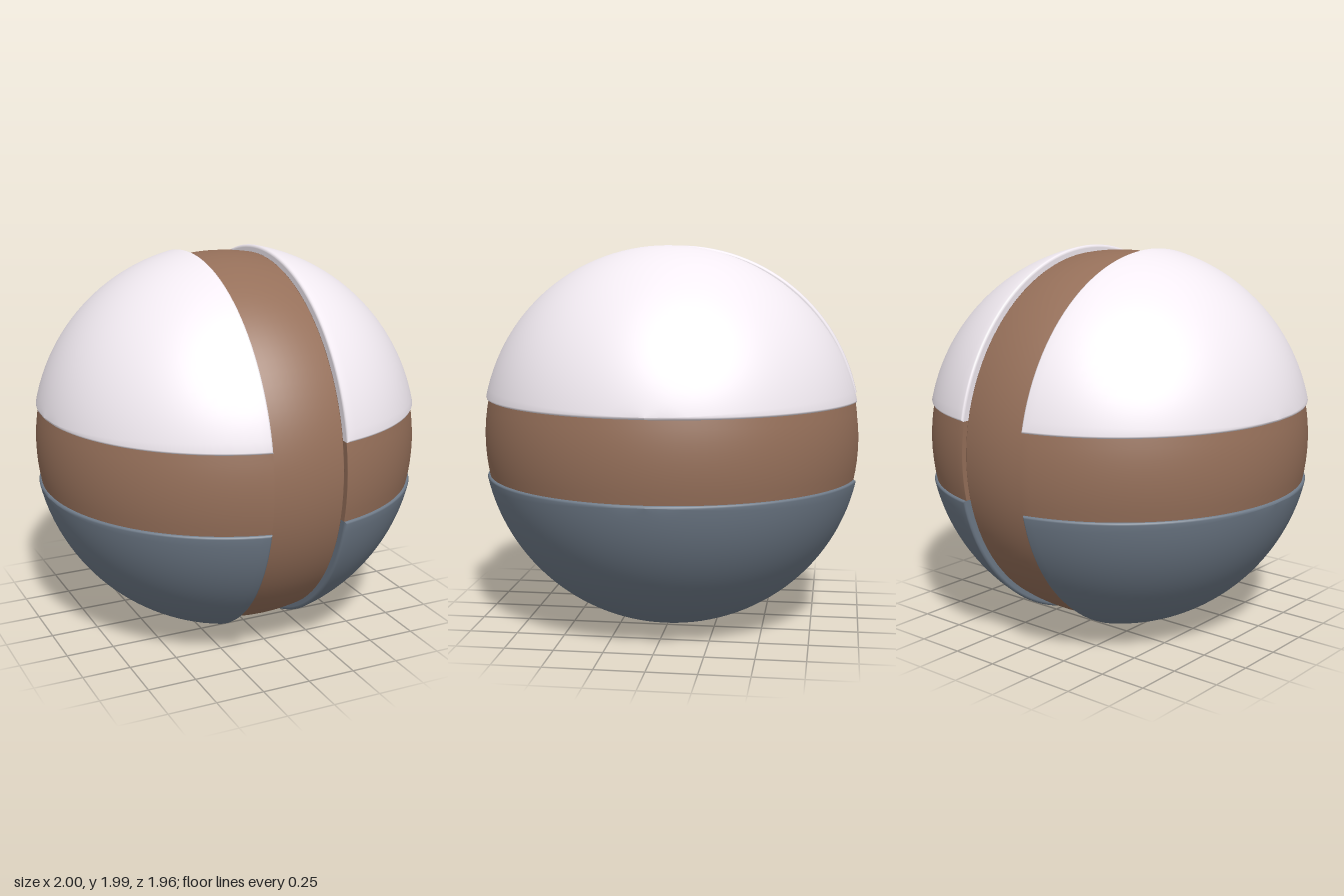
import * as THREE from 'three';

const GAP = 0.195;  // half width of the vertical groove
const HALF = 0.2;   // half height of the horizontal band
const lerp = THREE.MathUtils.lerp;

function material(color) {
  return new THREE.MeshStandardMaterial({ color, roughness: 0.7, side: THREE.DoubleSide });
}

// Smooth surface through a grid of points; point(i, j) gives [x, y, z]
function gridSurface(i0, i1, j0, j1, point) {
  const pos = [], index = [], w = j1 - j0 + 1;
  for (let i = i0; i <= i1; i++) {
    for (let j = j0; j <= j1; j++) {
      pos.push(...point(i, j));
      if (i < i1 && j < j1) {
        const a = (i - i0) * w + (j - j0), b = a + w;
        index.push(a, b, b + 1, a, b + 1, a + 1);
      }
    }
  }
  const g = new THREE.BufferGeometry();
  g.setAttribute('position', new THREE.Float32BufferAttribute(pos, 3));
  g.setIndex(index);
  g.computeVertexNormals();
  return g;
}

// Quarter shell: sphere cut by x = GAP and y = HALF, with a rounded rim and turned-in walls
function quarterShell() {
  const NU = 28, NV = 56;
  const rims = [[1.015, 0.012], [1.011, 0.004], [1.003, 0], [0.998, 0], [0.93, 0]]; // [radius, inset]
  const last = rims.length - 1;
  return gridSurface(-last, NU, -last, NV + last, (i, j) => {
    const [R, inset] = rims[Math.max(0, -i, -j, j - NV)];
    const u = THREE.MathUtils.clamp(i / NU, 0, 1), v = THREE.MathUtils.clamp(j / NV, 0, 1);
    const t = lerp(Math.acos((GAP + inset) / R), Math.asin((HALF + inset) / R), u);
    const r = R * Math.sin(t);
    const a = Math.asin(Math.min(1, (HALF + inset) / r));
    const phi = lerp(a, Math.PI - a, v);
    return [R * Math.cos(t), r * Math.sin(phi), r * Math.cos(phi)];
  });
}

// Half of the horizontal band, x > GAP, with end walls turned inward
function sideBand() {
  const NU = 8, NV = 56;
  const radii = [1, 0.997, 0.93];
  return gridSurface(0, NU, -2, NV + 2, (i, j) => {
    const R = radii[Math.max(0, -j, j - NV)];
    const y = lerp(-HALF, HALF, i / NU);
    const r = Math.sqrt(R * R - y * y);
    const end = Math.acos(GAP / r);
    const th = lerp(-end, end, THREE.MathUtils.clamp(j / NV, 0, 1));
    return [r * Math.cos(th), y, r * Math.sin(th)];
  });
}

// Vertical ring: gently crowned outside, with flat sides
function verticalRing() {
  const R = 0.977, w = 0.188, inner = 0.91, profile = [];
  profile.push(new THREE.Vector2(inner, -w));
  for (let k = 0; k <= 8; k++) {
    const y = lerp(-w, w, k / 8);
    const p = new THREE.Vector2(Math.sqrt(R * R - y * y), y);
    profile.push(p);
    // tight extra point keeps the edge crisp
    if (k === 0) profile.push(new THREE.Vector2(p.x + 0.001, y + 0.003));
    if (k === 7) profile.push(new THREE.Vector2(Math.sqrt(R * R - w * w) + 0.001, w - 0.003));
  }
  profile.push(new THREE.Vector2(inner, w));
  return new THREE.LatheGeometry(profile, 96).rotateZ(Math.PI / 2);
}

export function createModel() {
  const model = new THREE.Group();
  const white = material(0xf2ebf2), brown = material(0x96705a), slate = material(0x6f7b89);

  const add = (name, geometry, mat, rx = 0, ry = 0, rz = 0) => {
    const mesh = new THREE.Mesh(geometry, mat);
    mesh.name = name;
    mesh.rotation.set(rx, ry, rz);
    mesh.position.y = 1;
    model.add(mesh);
  };

  // Four quarter shells are one piece turned by half turns
  const shell = quarterShell();
  add('upperLeftShell', shell, white);
  add('upperRightShell', shell, white, 0, Math.PI, 0);
  add('lowerLeftShell', shell, slate, Math.PI, 0, 0);
  add('lowerRightShell', shell, slate, 0, 0, Math.PI);

  // Crossing bands
  const band = sideBand();
  add('leftBand', band, brown);
  add('rightBand', band, brown, 0, Math.PI, 0);
  add('verticalBand', verticalRing(), brown);
  return model;
}
